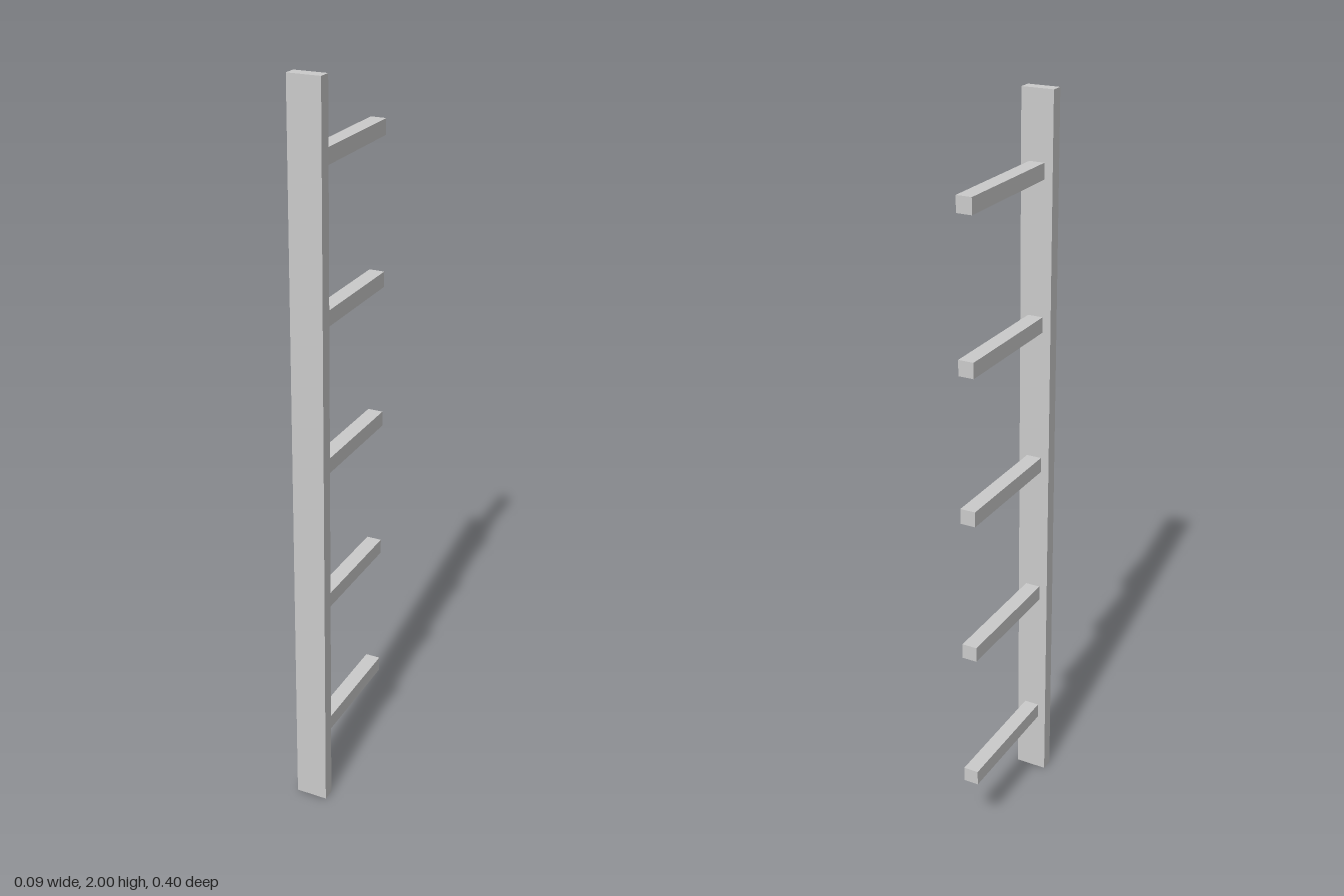
import * as THREE from 'three';

export function createModel() {
  const group = new THREE.Group();
  const material = new THREE.MeshStandardMaterial({ color: 0xcccccc, flatShading: true });

  const addBox = (name, w, h, d, y, z) => {
    const mesh = new THREE.Mesh(new THREE.BoxGeometry(w, h, d), material);
    mesh.name = name;
    mesh.position.set(0, y, z);
    group.add(mesh);
  };

  // Upright board at the front
  const back = -0.2, front = 0.2, thickness = 0.035;
  const boardBack = front - thickness;
  addBox('uprightBoard', 0.088, 2, thickness, 1, front - thickness / 2);

  // Five evenly spaced square pegs reaching back from the board
  for (let i = 0; i < 5; i++) {
    addBox(`peg${i + 1}`, 0.042, 0.042, boardBack - back, 0.2 + i * 0.4, (boardBack + back) / 2);
  }

  return group;
}
